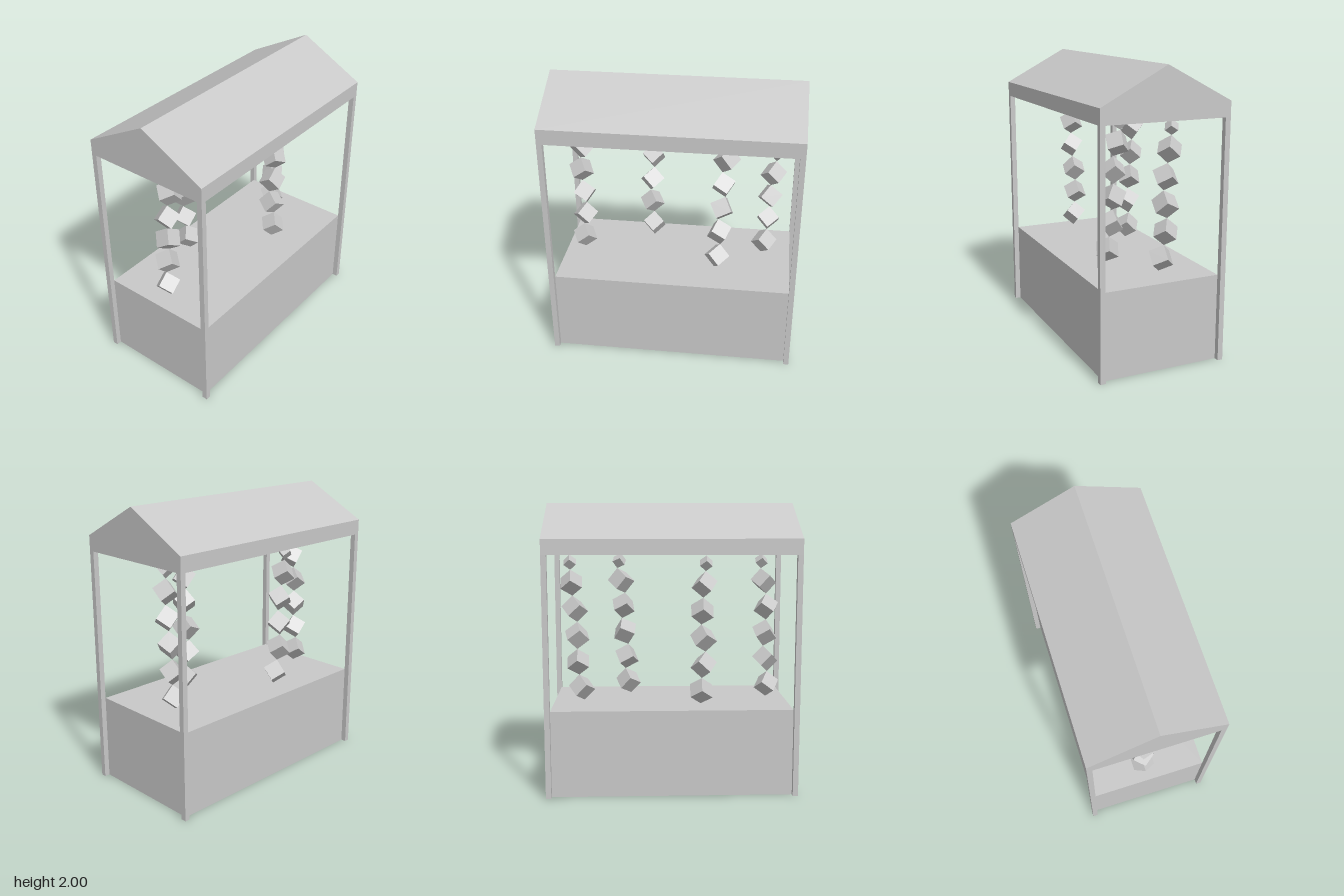
import * as THREE from 'three';

const HX = 0.865, HZ = 0.453, POST = 0.037;
const BEAM = 1.655, EAVE = 1.76, RIDGE = 2, COUNTER = 0.6;

// Heights at which neighbouring cubes touch, corner to corner
const JOINT_Y = [1.645, 1.54, 1.358, 1.172, 0.982, 0.796, 0.61];

// Sideways position of the joints of each string, and the spin of each cube in degrees
const STRINGS = [
  { x: [-0.66, -0.65, -0.69, -0.69, -0.67, -0.7, -0.695],
    z: [0.03, 0.02, 0.01, 0, -0.015, -0.02, -0.005],
    spin: [60, 90, 30, 75, 90, 30] },
  { x: [-0.235, -0.23, -0.215, -0.205, -0.235, -0.21, -0.205],
    z: [-0.3, -0.3, -0.29, -0.27, -0.265, -0.265, -0.235],
    spin: [60, 30, 60, 75, 30, 60] },
  { x: [0.35, 0.38, 0.325, 0.35, 0.305, 0.325, 0.285],
    z: [0.09, 0.085, 0.115, 0.125, 0.11, 0.145, 0.155],
    spin: [60, 90, 75, 45, 90, 75] },
  { x: [0.705, 0.7, 0.69, 0.66, 0.66, 0.65, 0.615],
    z: [-0.115, -0.12, -0.1, -0.09, -0.12, -0.105, -0.085],
    spin: [60, 60, 90, 75, 60, 90] },
];

function addMesh(parent, name, geometry, material, x = 0, y = 0, z = 0) {
  const mesh = new THREE.Mesh(geometry, material);
  mesh.name = name;
  mesh.position.set(x, y, z);
  parent.add(mesh);
  return mesh;
}

// Rotation that stands a cube on its corner, spun about its long diagonal
function cornerStand(spin, direction) {
  const edges = [0, 1, 2].map((i) => {
    const a = THREE.MathUtils.degToRad(spin + 180 + 120 * i);
    const r = Math.sqrt(2 / 3);
    return new THREE.Vector3(r * Math.sin(a), Math.sqrt(1 / 3), r * Math.cos(a));
  });
  const stand = new THREE.Quaternion().setFromRotationMatrix(
    new THREE.Matrix4().makeBasis(...edges));
  const tilt = new THREE.Quaternion().setFromUnitVectors(
    new THREE.Vector3(0, 1, 0), direction);
  return tilt.multiply(stand);
}

export function createModel() {
  const model = new THREE.Group();
  model.name = 'stall';
  const grey = new THREE.MeshStandardMaterial({ color: 0xc8c8c8 });
  grey.name = 'grey';

  // Solid counter between the posts
  addMesh(model, 'counter',
    new THREE.BoxGeometry(2 * (HX - POST), COUNTER, 2 * (HZ - POST)), grey, 0, COUNTER / 2, 0);

  // Corner posts
  const postGeometry = new THREE.BoxGeometry(POST, BEAM, POST);
  for (const sx of [-1, 1]) {
    for (const sz of [-1, 1]) {
      addMesh(model, 'cornerPost', postGeometry, grey,
        sx * (HX - POST / 2), BEAM / 2, sz * (HZ - POST / 2));
    }
  }

  // Gabled roof with a flat underside
  const gable = new THREE.Shape([
    new THREE.Vector2(-HZ, BEAM), new THREE.Vector2(HZ, BEAM),
    new THREE.Vector2(HZ, EAVE), new THREE.Vector2(0, RIDGE),
    new THREE.Vector2(-HZ, EAVE),
  ]);
  const roof = new THREE.ExtrudeGeometry(gable, { depth: 2 * HX, bevelEnabled: false });
  roof.translate(0, 0, -HX).rotateY(Math.PI / 2);
  addMesh(model, 'roof', roof, grey);

  // Hanging strings of cubes
  const cubeGeometry = new THREE.BoxGeometry(1, 1, 1);
  for (const { x, z, spin } of STRINGS) {
    const string = new THREE.Group();
    string.name = 'cubeString';
    const joints = JOINT_Y.map((y, i) => new THREE.Vector3(x[i], y, z[i]));
    spin.forEach((angle, i) => {
      const diagonal = joints[i].clone().sub(joints[i + 1]);
      const centre = joints[i].clone().add(joints[i + 1]).multiplyScalar(0.5);
      const cube = addMesh(string, 'hangingCube', cubeGeometry, grey, centre.x, centre.y, centre.z);
      cube.scale.setScalar(diagonal.length() / Math.sqrt(3));
      cube.quaternion.copy(cornerStand(angle, diagonal.normalize()));
    });
    model.add(string);
  }
  return model;
}
